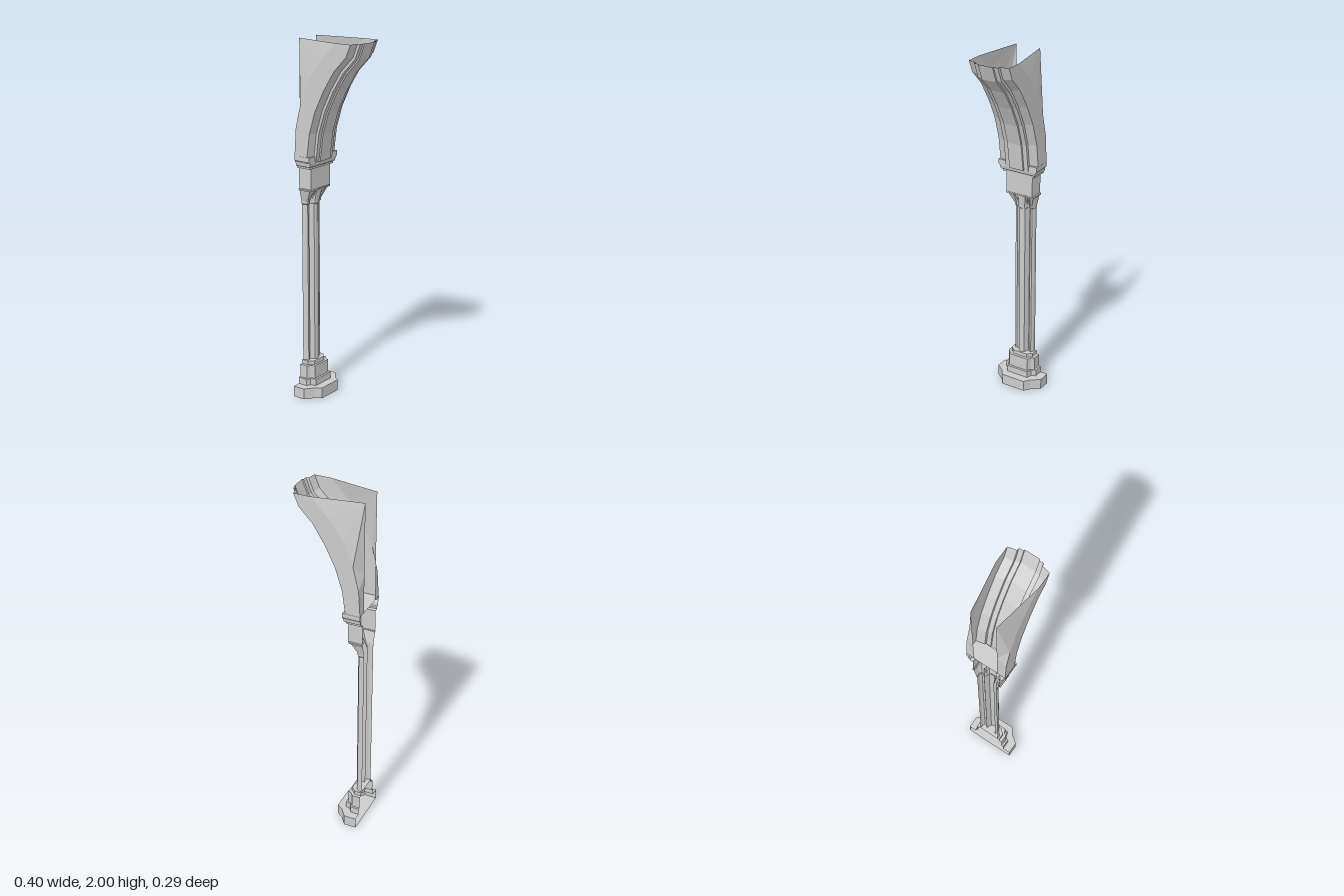
import * as THREE from 'three';

const BACK = -0.2;
const material = new THREE.MeshStandardMaterial({
  color: 0xcccccc, flatShading: true, side: THREE.DoubleSide,
});

function meshFrom(name, triangles) {
  const g = new THREE.BufferGeometry();
  g.setAttribute('position', new THREE.Float32BufferAttribute(triangles.flat(2), 3));
  g.computeVertexNormals();
  const mesh = new THREE.Mesh(g, material);
  mesh.name = name;
  return mesh;
}

// Skin a list of open cross-sections, each running from +z round to -z
function loft(name, rings) {
  const tris = [];
  for (let i = 0; i < rings.length - 1; i++) {
    const a = rings[i], b = rings[i + 1];
    for (let j = 0; j < a.length - 1; j++) {
      tris.push([a[j], a[j + 1], b[j + 1]], [a[j], b[j + 1], b[j]]);
    }
  }
  return meshFrom(name, tris);
}

// Mirror a half plan of [x, z] points and set it at height y
const ring = (half, y) => [
  ...half.map(([x, z]) => [x, y, z]),
  ...half.slice().reverse().map(([x, z]) => [x, y, -z]),
];
const flatten = (half) => half.map(([, z]) => [BACK, z]);
const square = (x, z) => [[BACK, z], [x, z], [x, z * 0.5]];
const cluster = (x, z, sideX, frontZ) => [
  [BACK, z], [sideX, z], [sideX + 0.012, frontZ + 0.01], [x, frontZ],
];

export function createModel() {
  const model = new THREE.Group();
  model.name = 'halfColumnWithArch';

  // Plinth and stepped base
  const plinth = [[BACK, 0.145], [-0.13, 0.145], [-0.092, 0.095], [-0.058, 0.072]];
  const step1 = cluster(-0.105, 0.1, -0.148, 0.066);
  const step2 = cluster(-0.118, 0.088, -0.152, 0.06);
  const step3 = cluster(-0.133, 0.07, -0.158, 0.045);
  model.add(loft('base', [
    ring(flatten(plinth), 0), ring(plinth, 0), ring(plinth, 0.062),
    ring(step1, 0.062), ring(step1, 0.1),
    ring(step2, 0.1), ring(step2, 0.175),
    ring(step3, 0.175), ring(step3, 0.197), ring(flatten(step3), 0.197),
  ]));

  // Clustered shaft: a centre roll between two side rolls
  const shaft = [
    [BACK, 0.06], [-0.18, 0.06], [-0.167, 0.052], [-0.167, 0.041],
    [-0.18, 0.03], [-0.168, 0.026], [-0.15, 0.018], [-0.145, 0.009],
  ];
  model.add(loft('shaft', [ring(shaft, 0.19), ring(shaft, 1.11)]));

  // Flared capital growing from the shaft to a square block
  const collar = shaft.map(([x, z]) => [x === BACK ? x : x + 0.006, z * 1.06]);
  const flare = [
    [BACK, 0.08], [-0.165, 0.08], [-0.13, 0.08], [-0.13, 0.06],
    [-0.13, 0.045], [-0.13, 0.03], [-0.13, 0.018], [-0.13, 0.009],
  ];
  model.add(loft('capital', [
    ring(shaft, 1.1), ring(collar, 1.105), ring(collar, 1.118), ring(flare, 1.185),
  ]));

  // Impost block and mouldings
  const impost = [
    [-0.125, 0.078, 1.183], [-0.122, 0.088, 1.184], [-0.122, 0.088, 1.192],
    [-0.118, 0.082, 1.195], [-0.118, 0.082, 1.31], [-0.112, 0.1, 1.312],
    [-0.112, 0.1, 1.322], [-0.105, 0.108, 1.326], [-0.1, 0.111, 1.345],
    [-0.1, 0.12, 1.355], [-0.1, 0.12, 1.38],
  ].map(([x, z, y]) => ring(square(x, z), y));
  impost.push(ring(flatten(square(-0.1, 0.12)), 1.38));
  model.add(loft('impost', impost));

  // Arch: stepped soffit following the curve, with flat side bands
  const soffit = [
    [-0.087, 1.35], [-0.067, 1.5], [-0.03, 1.62], [0.024, 1.73],
    [0.09, 1.835], [0.167, 1.915], [0.2, 2],
  ];
  const outer = [
    [-0.2, 1.38], [-0.19, 1.53], [-0.158, 1.66], [-0.105, 1.79],
    [-0.02, 1.905], [0.075, 2], [0.075, 2],
  ];
  // [half width, depth behind the centre rib]
  const steps = [[0.119, 0.033], [0.071, 0.023], [0.07, 0.008], [0.044, 0.008], [0.043, 0]];
  const last = soffit.length - 1;
  model.add(loft('arch', soffit.map(([x, y], i) => {
    const p = soffit[Math.max(i - 1, 0)], q = soffit[Math.min(i + 1, last)];
    const n = new THREE.Vector2(p[1] - q[1], q[0] - p[0]).normalize();
    if (i === 0 || i === last) n.set(-1, 0); // level cuts at both ends
    const half = steps.map(([z, d]) => [x + n.x * d, y + n.y * d, z]);
    half.unshift([...outer[i], 0.119]);
    return [...half, ...half.slice().reverse().map(([a, b, c]) => [a, b, -c])];
  })));

  // Spandrels: fans from the back edge out to the arch, one each side
  const top = [BACK, 2, 0.071], low = [BACK, 1.6, 0.071], foot = [BACK, 1.38, 0.071];
  const edge = outer.slice(0, 6).map(([x, y]) => [x, y, 0.119]);
  const fan = [
    [foot, edge[0], edge[1]], [foot, edge[1], low],
    [low, edge[1], edge[2]], [low, edge[2], top],
    [top, edge[2], edge[3]], [top, edge[3], edge[4]], [top, edge[4], edge[5]],
  ];
  for (const side of [1, -1]) {
    const spandrel = meshFrom(side > 0 ? 'frontSpandrel' : 'rearSpandrel', fan);
    spandrel.scale.z = side;
    model.add(spandrel);
  }
  return model;
}
